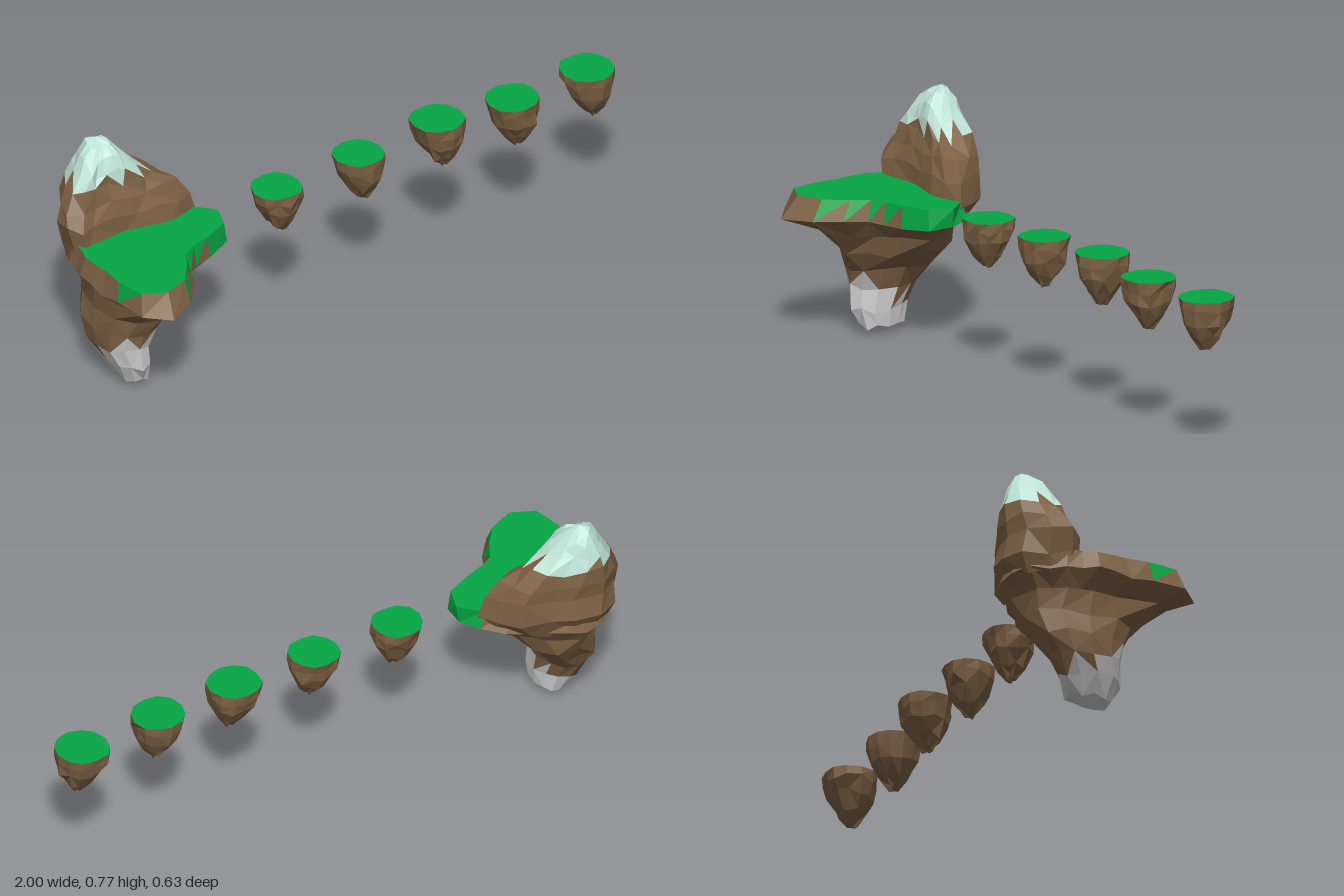
import * as THREE from 'three';

const COLORS = { Rock: 0x7d6144, Grass: 0x06a745, Snow: 0xbfe3d6, Stone: 0xcccccc };

let seed;
const rand = () => {
  seed = (seed * 16807) % 2147483647;
  return seed / 2147483647 * 2 - 1;
};

// Rough ellipse filling the extents [x0, x1, z0, z1] at height y
function ellipseRing(y, [x0, x1, z0, z1], n, rough, lift) {
  const shape = t => Math.sign(t) * Math.abs(t) ** 0.9;
  return Array.from({ length: n }, (_, i) => {
    const a = i / n * Math.PI * 2;
    const k = 1 + rough * (rand() - 0.1);
    return new THREE.Vector3(
      (x0 + x1) / 2 + shape(Math.cos(a)) * (x1 - x0) / 2 * k,
      y + rand() * lift,
      (z0 + z1) / 2 + shape(Math.sin(a)) * (z1 - z0) / 2 * k);
  });
}

// Ring given by evenly spaced radii, starting at +x and turning to +z
function radialRing(y, radii, lift) {
  return radii.map((r, i) => {
    const a = i / radii.length * Math.PI * 2;
    return new THREE.Vector3(-0.8 + r * Math.cos(a), y + rand() * lift, -0.05 + r * Math.sin(a));
  });
}

// Same ring with a midpoint on every edge
const subdivide = ring =>
  ring.flatMap((p, i) => [p, p.clone().lerp(ring[(i + 1) % ring.length], 0.5)]);

// Faceted skin through the rings, with optional end points, one mesh per material.
// pick(centre, ring, side, upper) names the material of each face.
function loft(name, rings, bottom, top, pick) {
  const faces = {};
  const add = (a, b, c, ring, side, upper) => {
    const centre = a.clone().add(b).add(c).divideScalar(3);
    const key = pick(centre, ring, side, upper);
    (faces[key] ??= []).push(a, b, c);
  };
  const n = rings[0].length;
  const last = rings.length - 1;
  for (let j = 0; j < n; j++) {
    const k = (j + 1) % n;
    if (bottom) add(bottom, rings[0][j], rings[0][k], -1, j, false);
    for (let i = 0; i < last; i++) {
      const [a, b, c, d] = [rings[i][j], rings[i][k], rings[i + 1][j], rings[i + 1][k]];
      // Alternate the diagonals for an irregular rock surface
      if ((i + j) % 2 && i < last - 1) {
        add(a, c, d, i, j, true);
        add(a, d, b, i, j, false);
      } else {
        add(a, c, b, i, j, false);
        add(b, c, d, i, j, true);
      }
    }
    if (top) add(top, rings[last][k], rings[last][j], last, j, true);
  }
  const group = new THREE.Group();
  group.name = name;
  for (const [key, points] of Object.entries(faces)) {
    const geometry = new THREE.BufferGeometry().setFromPoints(points);
    geometry.computeVertexNormals();
    const mesh = new THREE.Mesh(geometry,
      new THREE.MeshStandardMaterial({ color: COLORS[key], flatShading: true }));
    mesh.name = name + key;
    group.add(mesh);
  }
  return group;
}

export function createModel() {
  seed = 11;
  const model = new THREE.Group();
  model.name = 'floatingIslands';

  // Underside of the plateau, shared by the stem and the plateau
  const under = radialRing(0.35,
    [.19, .155, .155, .235, .265, .165, .15, .165, .195, .215, .18, .18], 0.012);

  // Rock stem on a grey stone foot
  const stem = [
    [0.027, [-0.885, -0.79, -0.095, 0.06]],
    [0.085, [-0.915, -0.79, -0.122, 0.08]],
    [0.15, [-0.945, -0.785, -0.162, 0.074]],
    [0.21, [-0.95, -0.755, -0.197, 0.085]],
    [0.28, [-0.948, -0.69, -0.237, 0.12]],
  ].map(([y, box]) => ellipseRing(y, box, 12, 0.06, 0.012));
  model.add(loft('stem', [...stem, under], new THREE.Vector3(-0.83, 0.002, 0), null,
    c => c.y < 0.15 + c.z * 0.45 ? 'Stone' : 'Rock'));

  // Plateau: wide rim below a flat grass top, grass hanging over the front and the arm end
  const rim = [.31, .31, .24, .2, .2, .25, .315, .38, .35, .265, .225, .205,
    .2, .19, .2, .215, .235, .25, .25, .24, .22, .225, .255, .29];
  const brink = [.32, .3, .23, .19, .18, .22, .28, .325, .32, .25, .2, .185,
    .18, .17, .19, .2, .21, .22, .22, .21, .19, .19, .21, .27];
  const hanging = [2, 3, 4, 5, 8];
  model.add(loft('plateau',
    [subdivide(under), radialRing(0.405, rim, 0.014), radialRing(0.472, brink, 0)],
    null, new THREE.Vector3(-0.8, 0.472, -0.05),
    (c, ring, side, upper) => {
      const armEnd = side < 2 || side === 23;
      if (ring === 2 || (ring === 1 && (armEnd || (upper && hanging.includes(side))))) return 'Grass';
      return 'Rock';
    }));

  // Mountain at the back of the plateau: one outline fitted to the extents at each height
  const outline = [[-.51, -.10], [-.58, -.075], [-.65, -.08], [-.72, -.095], [-.80, -.11],
    [-.88, -.10], [-.95, -.085], [-.985, -.13], [-.965, -.2], [-.92, -.275], [-.85, -.315],
    [-.75, -.30], [-.68, -.26], [-.60, -.235], [-.56, -.18]];
  const slopes = [
    [0.39, [-0.965, -0.56, -0.28, -0.1]],
    [0.455, [-0.985, -0.515, -0.315, -0.078]],
    [0.53, [-1, -0.53, -0.302, -0.09]],
    [0.58, [-0.98, -0.575, -0.308, -0.11]],
    [0.63, [-0.95, -0.635, -0.312, -0.13]],
    [0.675, [-0.91, -0.7, -0.3, -0.142]],
    [0.715, [-0.885, -0.735, -0.287, -0.162]],
    [0.75, [-0.855, -0.78, -0.265, -0.19]],
  ].map(([y, [x0, x1, z0, z1]]) => outline.map(([x, z]) => {
    const u = (x + 0.985) / 0.475;
    const v = (z + 0.315) / 0.24;
    const round = (y - 0.39) * 1.4;
    // Higher rings turn from the wedge outline towards an oval
    const a = Math.atan2(v - 0.5, u - 0.5);
    const s = THREE.MathUtils.lerp(u, 0.5 + Math.cos(a) / 2, round) + rand() * 0.025;
    const t = THREE.MathUtils.lerp(v, 0.5 + Math.sin(a) / 2, round) + rand() * 0.025;
    return new THREE.Vector3(x0 + s * (x1 - x0), y + rand() * 0.013, z0 + t * (z1 - z0));
  }));
  model.add(loft('mountain', slopes, null, new THREE.Vector3(-0.82, 0.767, -0.232),
    c => c.y > 0.648 ? 'Snow' : 'Rock'));

  // Row of small stepping islands: x, z, top, bottom, radius
  const steps = [
    [-0.27, -0.035, 0.492, 0.34, 0.081],
    [0.04, -0.035, 0.505, 0.345, 0.081],
    [0.345, -0.045, 0.52, 0.355, 0.086],
    [0.62, -0.032, 0.505, 0.34, 0.085],
    [0.913, -0.045, 0.505, 0.338, 0.087],
  ];
  const profile = [[0.05, 0.2], [0.26, 0.53], [0.55, 0.84], [0.8, 0.96], [1, 1]];
  steps.forEach(([x, z, top, bottom, radius], i) => {
    const h = top - bottom;
    const rings = profile.map(([t, r], p) => {
      const flat = p === profile.length - 1;
      const drift = (1 - t) * 0.012;
      const s = radius * r;
      return ellipseRing(bottom + h * t, [x + drift - s, x + drift + s, z + drift - s, z + drift + s],
        12, flat ? 0.04 : 0.09, flat ? 0 : 0.011);
    });
    model.add(loft('steppingIsland' + (i + 1), rings,
      new THREE.Vector3(x + 0.012, bottom, z + 0.012), new THREE.Vector3(x, top, z),
      (c, ring) => ring === profile.length - 1 ? 'Grass' : 'Rock'));
  });

  return model;
}
